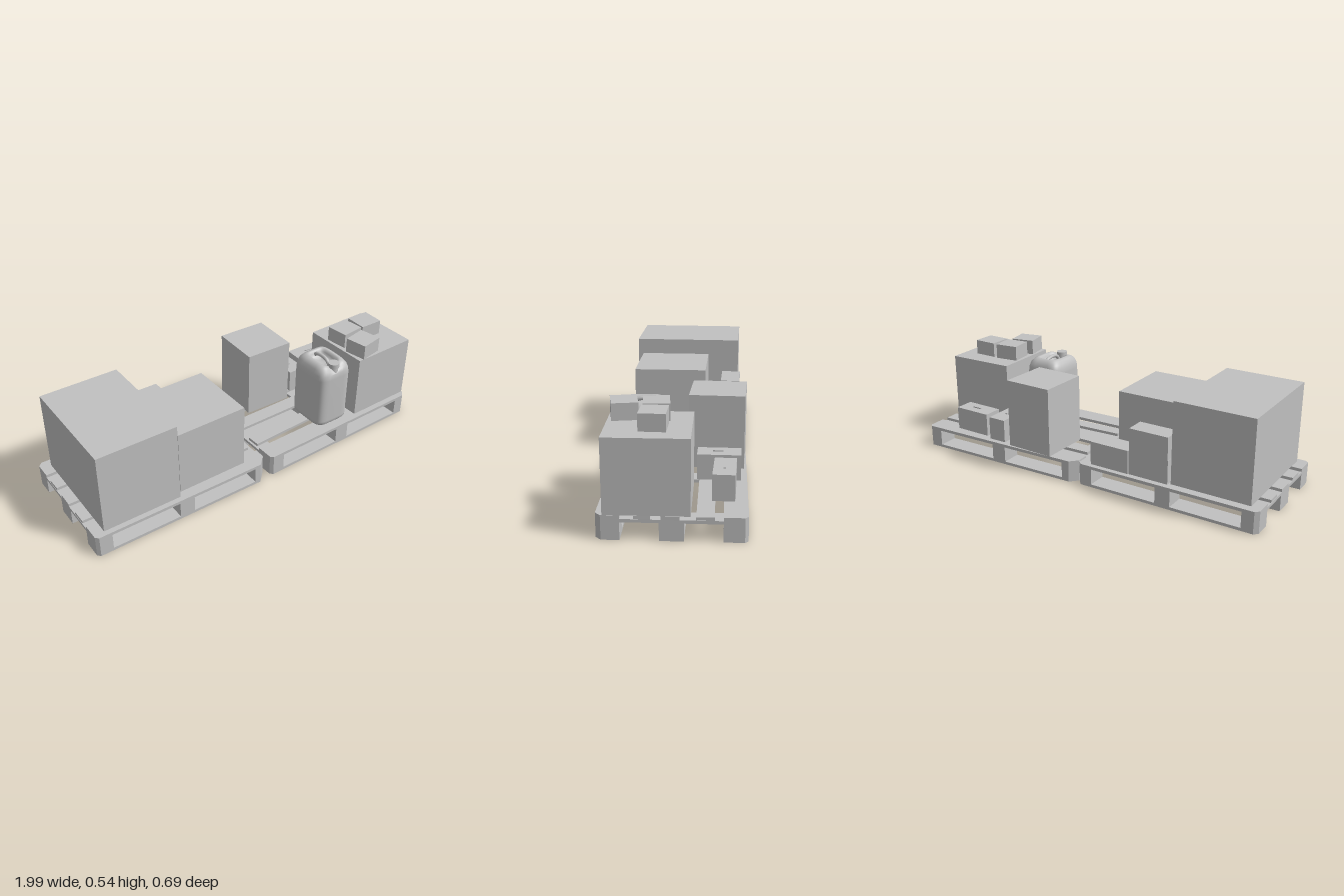
import * as THREE from 'three';

const grey = new THREE.MeshStandardMaterial({ color: 0xc0c0c0 });
grey.name = 'plain grey';

const DECK = 0.114;

function add(parent, geometry, name, x = 0, y = 0, z = 0, turn = 0) {
  const mesh = new THREE.Mesh(geometry, grey);
  mesh.name = name;
  mesh.position.set(x, y, z);
  mesh.rotation.y = turn;
  parent.add(mesh);
  return mesh;
}

// Box standing on height y
function box(parent, name, x, y, z, w, h, d, turn = 0) {
  return add(parent, new THREE.BoxGeometry(w, h, d), name, x, y + h / 2, z, turn);
}

// Slab with cut corners, order: (+x+z), (-x+z), (-x-z), (+x-z)
function slab(w, h, d, cuts) {
  const X = w / 2, Z = d / 2;
  const [a, b, c, e] = cuts;
  const points = [
    [X, -Z + a], [X - a, -Z], [-X + b, -Z], [-X, -Z + b],
    [-X, Z - c], [-X + c, Z], [X - e, Z], [X, Z - e],
  ].map(p => new THREE.Vector2(p[0], p[1])).reverse();
  const geometry = new THREE.ExtrudeGeometry(new THREE.Shape(points), { depth: h, bevelEnabled: false });
  return geometry.rotateX(-Math.PI / 2);
}

// Wooden pallet: bottom runners, nine blocks, three cross boards, five deck boards
function pallet(name, cuts, inner) {
  const g = new THREE.Group();
  g.name = name;
  const L = 0.984, W = 0.654, bw = 0.106, t = 0.015;
  for (const k of [-1, 0, 1]) {
    const z = k * (W - bw) / 2;
    const rowCuts = k === 0 ? [0, 0, 0, 0]
      : k > 0 ? [cuts[0], cuts[1], 0, 0] : [0, 0, cuts[2], cuts[3]];
    add(g, slab(L, t, bw, rowCuts), 'bottomRunner', 0, 0, z);
    for (const j of [-1, 0, 1]) {
      const c = rowCuts.map((v, i) => ((i === 0 || i === 3) ? j > 0 : j < 0) ? v : 0);
      add(g, slab(0.082, 0.083 - t, bw, c), 'block', j * (L - 0.082) / 2, t, z);
    }
    if (k) add(g, slab(L, DECK - 0.098, bw, rowCuts), 'outerDeckBoard', 0, 0.098, z);
  }
  for (const j of [-1, 0, 1]) {
    const c = j < 0 ? [0, cuts[1], cuts[2], 0] : j > 0 ? [cuts[0], 0, 0, cuts[3]] : [0, 0, 0, 0];
    add(g, slab(0.082, t, W, c), 'crossBoard', j * (L - 0.082) / 2, 0.083, 0);
  }
  // Worn inner boards lie slightly askew
  for (const [x, z, length, width, turn] of inner) {
    box(g, 'innerDeckBoard', x, 0.098, z, length, t, width, turn);
  }
  return g;
}

// Plastic canister lofted from rounded rectangles
function canister() {
  const g = new THREE.Group();
  g.name = 'canister';
  const rings = [
    [0, 0.1], [0, 0.022], [0.004, 0.01], [0.016, 0.001], [0.03, 0], [0.16, 0], [0.29, 0],
    [0.318, 0.003], [0.342, 0.012], [0.358, 0.026], [0.366, 0.042], [0.364, 0.052],
    [0.352, 0.06], [0.335, 0.066], [0.33, 0.1], [0.33, 0.1068],
  ];
  const N = 48, pos = [], idx = [];
  const power = (v, p) => Math.sign(v) * Math.abs(v) ** p;
  rings.forEach(([y, inset], r) => {
    for (let i = 0; i < N; i++) {
      const t = i / N * Math.PI * 2;
      const x = (0.107 - inset) * power(Math.cos(t), 0.42);
      const z = (0.122 - inset) * power(Math.sin(t), 0.42);
      // Lowered front rim around the spout
      const dip = y > 0.34 && z > 0 ? 0.022 * Math.exp(-((x / 0.04) ** 2)) : 0;
      pos.push(x, y - dip, z);
      if (r < rings.length - 1) {
        const a = r * N + i, b = r * N + (i + 1) % N;
        idx.push(a, a + N, b, b, a + N, b + N);
      }
    }
  });
  const body = new THREE.BufferGeometry();
  body.setAttribute('position', new THREE.Float32BufferAttribute(pos, 3));
  body.setIndex(idx);
  body.computeVertexNormals();
  add(g, body, 'canisterBody');
  const base = new THREE.PlaneGeometry(0.02, 0.05).rotateX(Math.PI / 2);
  add(g, base, 'canisterBase', 0, 0.0005, 0);

  const path = new THREE.CatmullRomCurve3([
    [0, 0.325, -0.072], [0, 0.35, -0.06], [0, 0.361, -0.03], [0, 0.361, 0.02], [0, 0.345, 0.045], [0, 0.325, 0.055],
  ].map(p => new THREE.Vector3(...p)));
  add(g, new THREE.TubeGeometry(path, 24, 0.01, 10), 'canisterHandle');
  add(g, new THREE.CylinderGeometry(0.024, 0.026, 0.03, 24), 'canisterNeck', 0, 0.335, 0.086);
  add(g, new THREE.CylinderGeometry(0.029, 0.03, 0.024, 24), 'canisterCap', 0, 0.358, 0.086);
  return g;
}

export function createModel() {
  const model = new THREE.Group();
  model.name = 'loadedPallets';

  // Pallets
  const right = pallet('rightPallet', [0.05, 0.015, 0.02, 0.02], [
    [0, -0.146, 0.98, 0.072, 0.015],
    [0, 0, 0.984, 0.08, -0.006],
    [-0.01, 0.138, 0.96, 0.078, 0.004],
  ]);
  right.position.set(-0.508, 0, 0.015);
  model.add(right);

  const left = pallet('leftPallet', [0.025, 0.015, 0.04, 0.015], [
    [0.008, -0.142, 0.964, 0.078, 0.004],
    [0, 0, 0.984, 0.08, -0.012],
    [0.005, 0.14, 0.97, 0.07, 0.03],
  ]);
  left.position.set(0.494, 0, -0.007);
  left.rotation.y = 0.027;
  model.add(left);

  // Cartons on the right pallet
  box(model, 'largeCarton', -0.738, DECK, 0.023, 0.415, 0.426, 0.583);
  box(model, 'mediumCarton', -0.322, DECK, 0.092, 0.383, 0.346, 0.381, 0.01);
  box(model, 'smallCarton', -0.41, DECK, -0.23, 0.218, 0.124, 0.104);
  box(model, 'smallCarton', -0.189, DECK, -0.232, 0.218, 0.124, 0.106);
  box(model, 'smallCarton', -0.41, DECK + 0.124, -0.23, 0.214, 0.12, 0.104);

  // Cartons on the left pallet
  box(model, 'tallCarton', 0.28, DECK, -0.188, 0.266, 0.365, 0.268, -0.02);
  box(model, 'mediumCarton', 0.801, DECK, 0.092, 0.372, 0.346, 0.377, 0.03);
  box(model, 'smallCarton', 0.515, DECK, -0.203, 0.1, 0.124, 0.206, 0.01);
  box(model, 'smallCarton', 0.705, DECK, -0.235, 0.21, 0.124, 0.102, -0.01);
  box(model, 'cartonHandle', 0.515, DECK + 0.124, -0.197, 0.01, 0.006, 0.05);
  box(model, 'cartonHandle', 0.71, DECK + 0.124, -0.235, 0.05, 0.006, 0.01);
  for (const [x, z, turn] of [[0.698, 0.07, 0.12], [0.842, 0.067, -0.01], [0.7, 0.214, 0.2]]) {
    box(model, 'cubeCarton', x, 0.46, z, 0.128, 0.08, 0.12, turn);
  }

  const can = canister();
  can.position.set(0.473, DECK, 0.158);
  model.add(can);
  return model;
}
